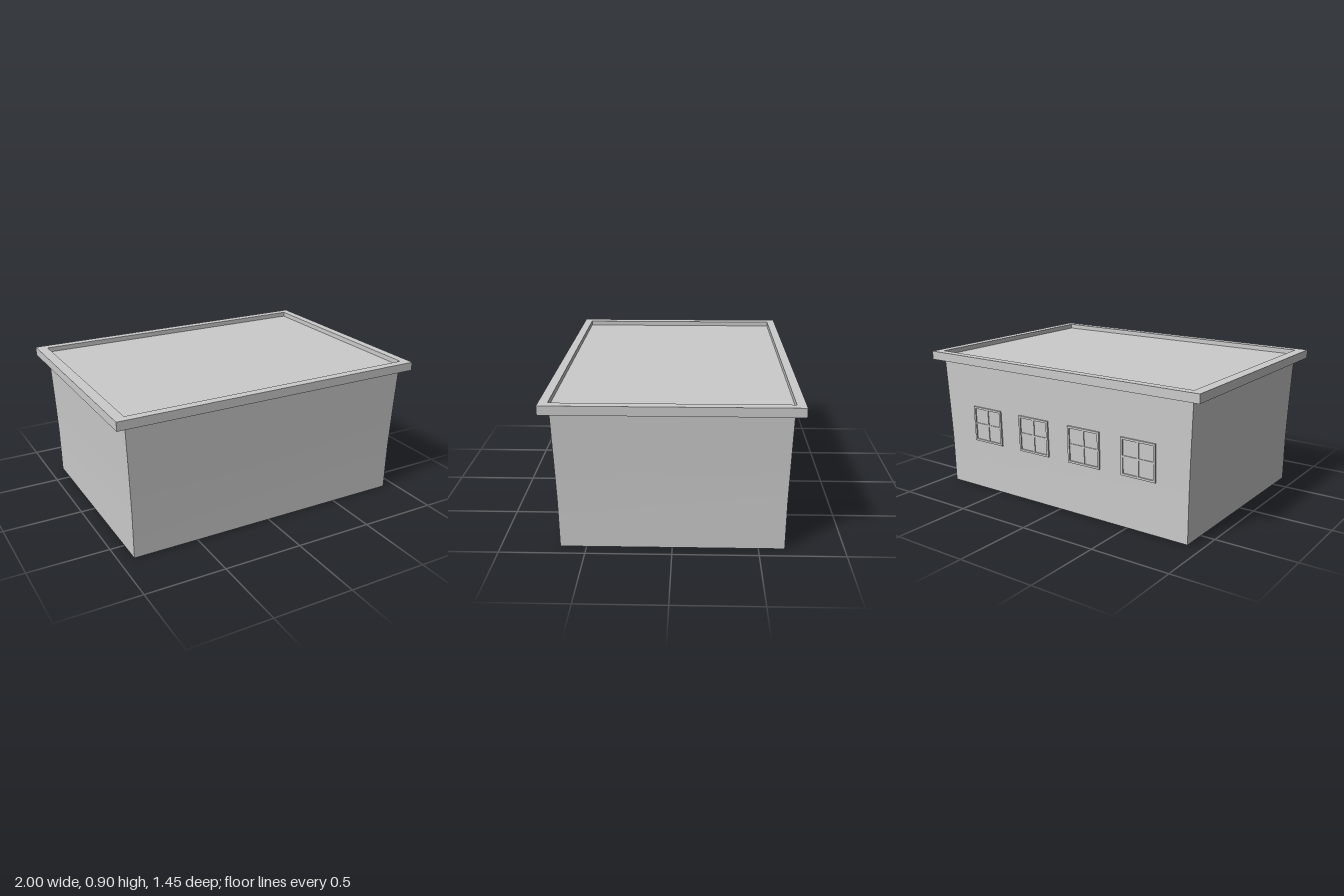
import * as THREE from 'three';

const material = new THREE.MeshStandardMaterial({ color: 0xcccccc, side: THREE.DoubleSide });
const CENTRE_X = 0.006;

// Wall profile: [height, outward flare in x, outward flare in z]
const PROFILE = [[0, 0, 0], [0.3, 0.003, 0.002], [0.56, 0.012, 0.008], [0.845, 0.024, 0.015]];
const BASE_X = 0.915, BASE_Z = 0.653;

function addMesh(parent, name, geometry, x = 0, y = 0, z = 0) {
  const mesh = new THREE.Mesh(geometry, material);
  mesh.name = name;
  mesh.position.set(x, y, z);
  parent.add(mesh);
  return mesh;
}

function rectangle(Type, x0, x1, y0, y1) {
  return new Type([[x0, y0], [x1, y0], [x1, y1], [x0, y1]].map(([x, y]) => new THREE.Vector2(x, y)));
}

// Four flaring walls, open below; each side keeps its own vertices for sharp corners
function wallGeometry() {
  const corners = [[-1, 1], [1, 1], [1, -1], [-1, -1]];
  const positions = [], indices = [];
  corners.forEach((a, side) => {
    const b = corners[(side + 1) % 4];
    const start = positions.length / 3;
    PROFILE.forEach(([y, fx, fz], row) => {
      for (const [sx, sz] of [a, b]) {
        positions.push(CENTRE_X + sx * (BASE_X + fx), y, sz * (BASE_Z + fz));
      }
      if (row > 0) {
        const i = start + (row - 1) * 2;
        indices.push(i, i + 1, i + 3, i, i + 3, i + 2);
      }
    });
  });
  const geometry = new THREE.BufferGeometry();
  geometry.setAttribute('position', new THREE.Float32BufferAttribute(positions, 3));
  geometry.setIndex(indices);
  geometry.computeVertexNormals();
  return geometry;
}

// Window with a raised surround, a slimmer cross of glazing bars and a recessed pane
function createWindow() {
  const group = new THREE.Group();
  group.name = 'window';
  const w = 0.117, h = 0.116, border = 0.013;
  const surround = rectangle(THREE.Shape, -w, w, -h, h);
  surround.holes.push(rectangle(THREE.Path, -w + border, w - border, -h + border, h - border));
  addMesh(group, 'windowFrame', new THREE.ExtrudeGeometry(surround, { depth: 0.01, bevelEnabled: false }));
  addMesh(group, 'windowPane', new THREE.PlaneGeometry(2 * (w - border), 2 * (h - border)), 0, 0, 0.002);
  addMesh(group, 'verticalBar', new THREE.BoxGeometry(0.012, 2 * (h - border), 0.006), 0, 0, 0.004);
  addMesh(group, 'horizontalBar', new THREE.BoxGeometry(2 * (w - border), 0.012, 0.006), 0, 0, 0.004);
  return group;
}

export function createModel() {
  const model = new THREE.Group();
  model.name = 'building';

  addMesh(model, 'walls', wallGeometry());

  // Overhanging cornice ring that rises above the roof as a parapet
  const ring = rectangle(THREE.Shape, -1, 1, -0.724, 0.724);
  ring.holes.push(rectangle(THREE.Path, -0.935, 0.946, -0.671, 0.671));
  const cornice = new THREE.ExtrudeGeometry(ring, { depth: 0.054, bevelEnabled: false });
  addMesh(model, 'cornice', cornice.rotateX(-Math.PI / 2), 0, 0.843, 0);

  // Flat roof, sunk below the parapet
  const roof = new THREE.PlaneGeometry(1.881, 1.342).rotateX(-Math.PI / 2);
  addMesh(model, 'roof', roof, CENTRE_X, 0.867, 0);

  // Row of four windows, leaning with the back wall
  for (let i = 0; i < 4; i++) {
    const pane = createWindow();
    pane.position.set(0.583 - i * 0.388, 0.441, -(BASE_Z + 0.0053));
    pane.rotation.set(-0.025, Math.PI, 0);
    model.add(pane);
  }
  return model;
}
